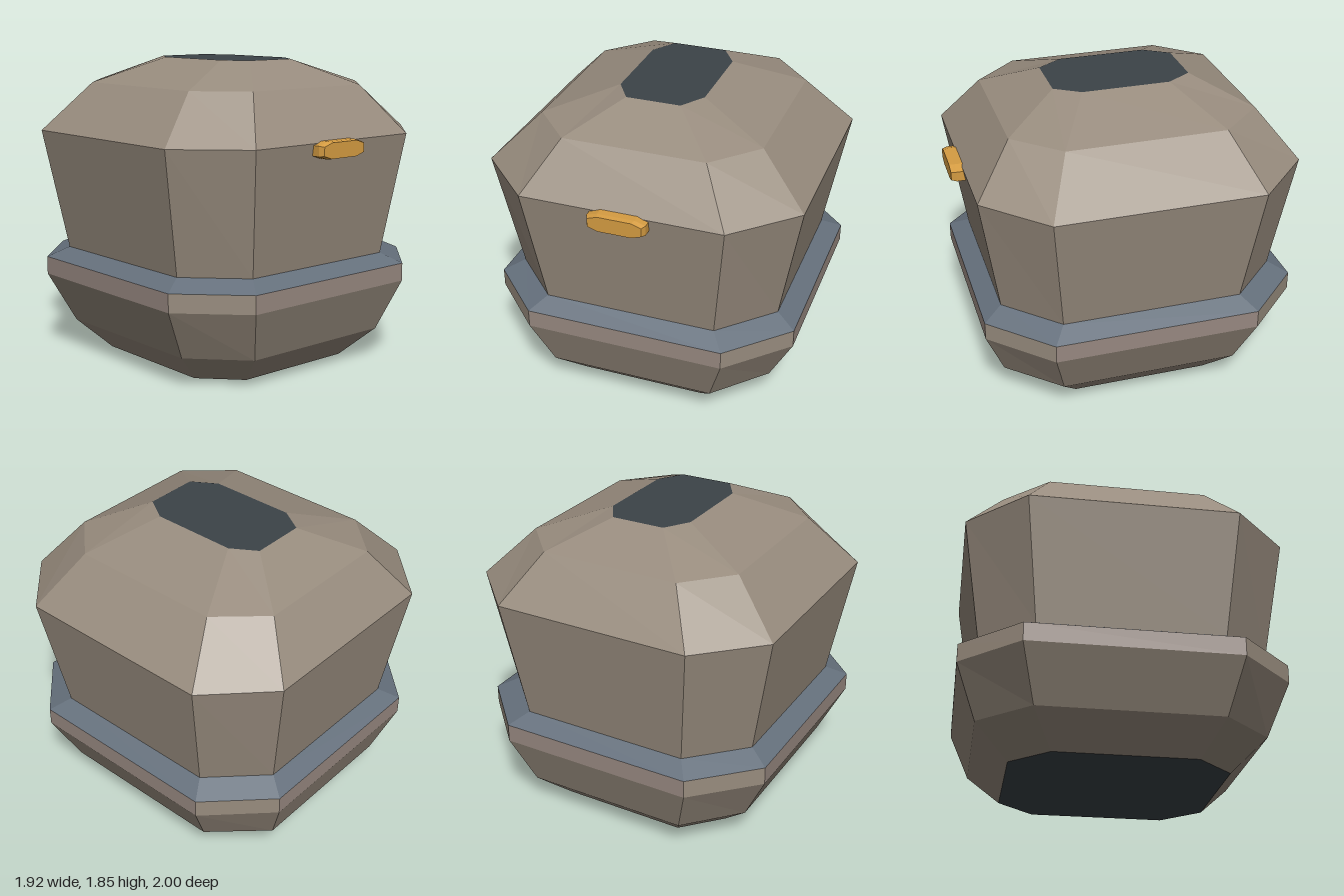
import * as THREE from 'three';

const mat = (name, color) => {
  const m = new THREE.MeshStandardMaterial({ color });
  m.name = name;
  m.flatShading = true;
  return m;
};

// Octagon outline: half width, half depth, and where the cut corners begin
const octagon = ([y, hx, hz, cx, cz]) => [
  [hx, y, cz], [cx, y, hz], [-cx, y, hz], [-hx, y, cz],
  [-hx, y, -cz], [-cx, y, -hz], [cx, y, -hz], [hx, y, -cz],
];

// Joins octagons from bottom to top; optionally closes either end
function loft(sections, { bottom = false, top = false } = {}) {
  const rings = sections.map(octagon);
  const pos = [];
  const tri = (a, b, c) => pos.push(...a, ...b, ...c);
  for (let r = 0; r < rings.length - 1; r++) {
    for (let i = 0; i < 8; i++) {
      const j = (i + 1) % 8;
      const [a, b, c, d] = [rings[r][i], rings[r][j], rings[r + 1][j], rings[r + 1][i]];
      tri(a, d, c);
      tri(a, c, b);
    }
  }
  const first = rings[0], last = rings[rings.length - 1];
  for (let i = 1; i < 7; i++) {
    if (bottom) tri(first[0], first[i], first[i + 1]);
    if (top) tri(last[0], last[i + 1], last[i]);
  }
  const g = new THREE.BufferGeometry();
  g.setAttribute('position', new THREE.Float32BufferAttribute(pos, 3));
  g.computeVertexNormals();
  return g;
}

export function createModel() {
  const shell = mat('taupe shell', 0x988c7e);
  const rimPanel = mat('rosy taupe', 0x978880);
  const steel = mat('blue steel', 0x65707c);
  const dark = mat('dark slate', 0x3c4348);
  const gold = mat('gold', 0xd59c42);

  const model = new THREE.Group();
  const body = new THREE.Group();
  body.name = 'body';
  body.position.z = -0.035;
  model.add(body);

  const add = (name, geometry, material, parent = body) => {
    const mesh = new THREE.Mesh(geometry, material);
    mesh.name = name;
    parent.add(mesh);
    return mesh;
  };

  // Cross-sections: height, half width, half depth, corner x, corner z
  const foot = [0, 0.6, 0.645, 0.39, 0.42];
  const bowl = [0.19, 0.79, 0.845, 0.505, 0.54];
  const rimLow = [0.5, 0.945, 0.965, 0.605, 0.62];
  const rimHigh = [0.61, 0.945, 0.965, 0.605, 0.62];
  const waist = [0.67, 0.825, 0.85, 0.525, 0.545];
  const shoulder = [1.41, 0.96, 0.965, 0.61, 0.62];
  const dome = [1.7, 0.675, 0.74, 0.43, 0.475];
  const crown = [1.85, 0.26, 0.415, 0.165, 0.265];

  add('lowerBowl', loft([foot, bowl, rimLow]), shell);

  // Rim: rosy long sides, plain cut corners
  const rim = loft([rimLow, rimHigh]);
  for (let i = 0; i < 8; i++) rim.addGroup(i * 6, 6, i % 2);
  add('rim', rim, [shell, rimPanel]);

  add('ledge', loft([rimHigh, waist]), steel);
  add('upperShell', loft([waist, shoulder, dome, crown]), shell);

  // Flat ends
  add('bottomPlate', loft([foot], { bottom: true }), dark);
  add('topPlate', loft([crown], { top: true }), dark);

  // Bevelled badge on the front edge
  const badge = add('frontBadge', loft([
    [-0.1, 0.175, 0.05, 0.11, 0.03],
    [-0.03, 0.175, 0.05, 0.11, 0.03],
    [0, 0.16, 0.046, 0.1, 0.026],
  ], { bottom: true, top: true }), gold, model);
  badge.rotation.x = Math.PI / 2;
  badge.position.set(0, 1.37, 1);

  return model;
}
